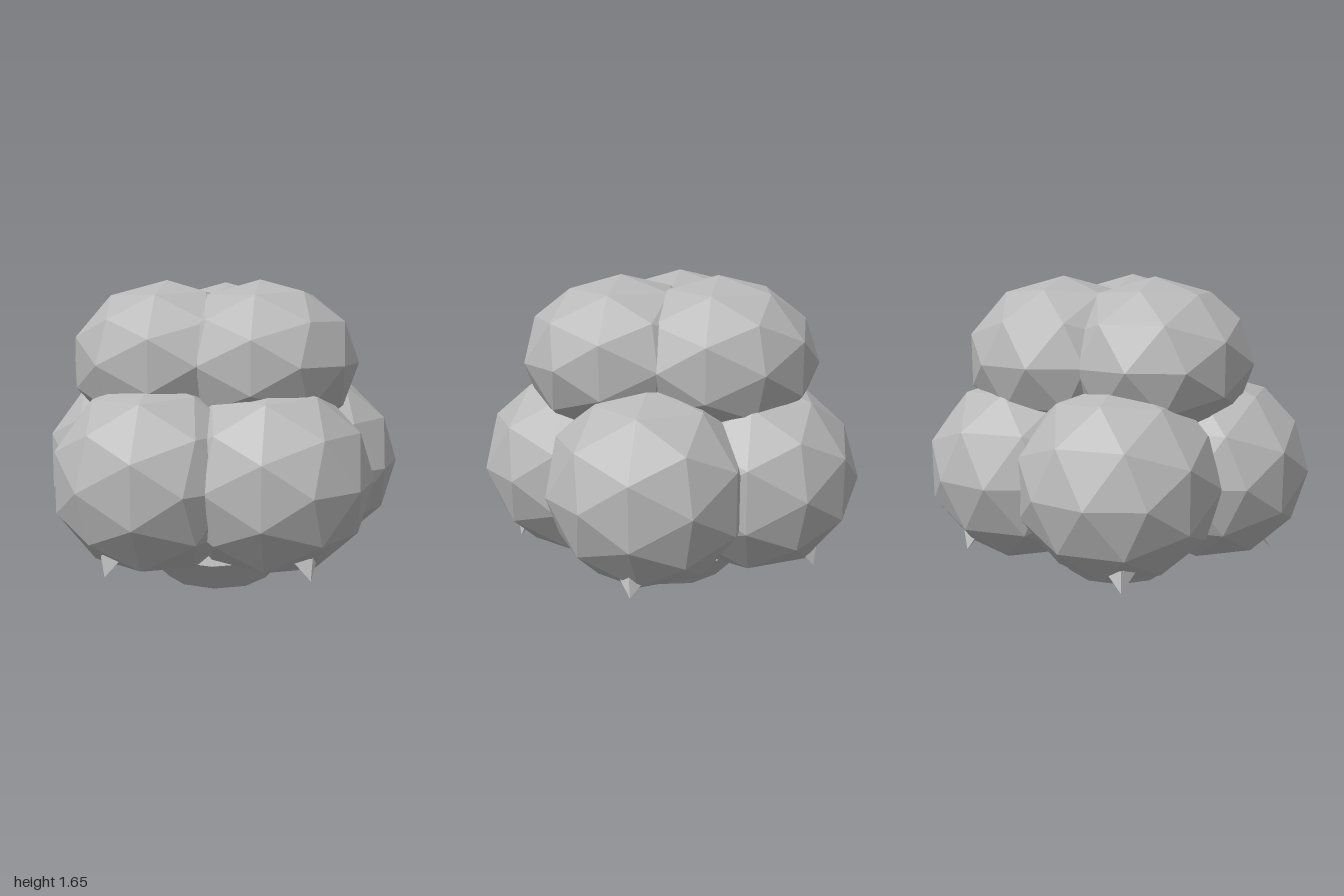
import * as THREE from 'three';

export function createModel() {
  const group = new THREE.Group();
  const grey = new THREE.MeshStandardMaterial({ color: 0xb8b8b8, flatShading: true });
  grey.name = 'grey';
  const paleGrey = new THREE.MeshStandardMaterial({ color: 0xd4d4d4, flatShading: true });
  paleGrey.name = 'pale grey';

  const add = (name, geometry, material, x, y, z) => {
    const mesh = new THREE.Mesh(geometry, material);
    mesh.name = name;
    mesh.position.set(x, y, z);
    group.add(mesh);
    return mesh;
  };

  // Slightly squashed faceted balls in two tiers
  const lowerBall = new THREE.IcosahedronGeometry(1, 1).scale(0.53, 0.505, 0.53);
  const upperBall = new THREE.IcosahedronGeometry(1, 1).scale(0.52, 0.43, 0.52);

  // Lower tier: a ring of five
  [[0, 0.47], [0.47, 0.105], [0.29, -0.47], [-0.29, -0.47], [-0.47, 0.105]]
    .forEach(([x, z]) => add('lowerBall', lowerBall, grey, x, 0.645, z));

  // Upper tier: a ring of three
  [[-0.15, 0.2], [-0.15, -0.3], [0.285, -0.05]]
    .forEach(([x, z]) => add('upperBall', upperBall, grey, x, 1.22, z));

  // Tapered foot
  add('base', new THREE.CylinderGeometry(0.46, 0.288, 0.18, 10), grey, 0, 0.09, -0.045);

  // Small spikes pointing down, tips pushed outward
  const spike = new THREE.ConeGeometry(0.088, 0.115, 4).rotateX(Math.PI).scale(1, 1, 0.7);
  const p = spike.attributes.position;
  for (let i = 0; i < p.count; i++) {
    if (p.getY(i) < 0) p.setZ(i, p.getZ(i) + 0.05);
  }
  for (let i = 0; i < 5; i++) {
    const a = (i * Math.PI * 2) / 5;
    add('spike', spike, paleGrey, Math.sin(a) * 0.8, 0.2525, Math.cos(a) * 0.82 - 0.045).rotation.y = a;
  }
  return group;
}
